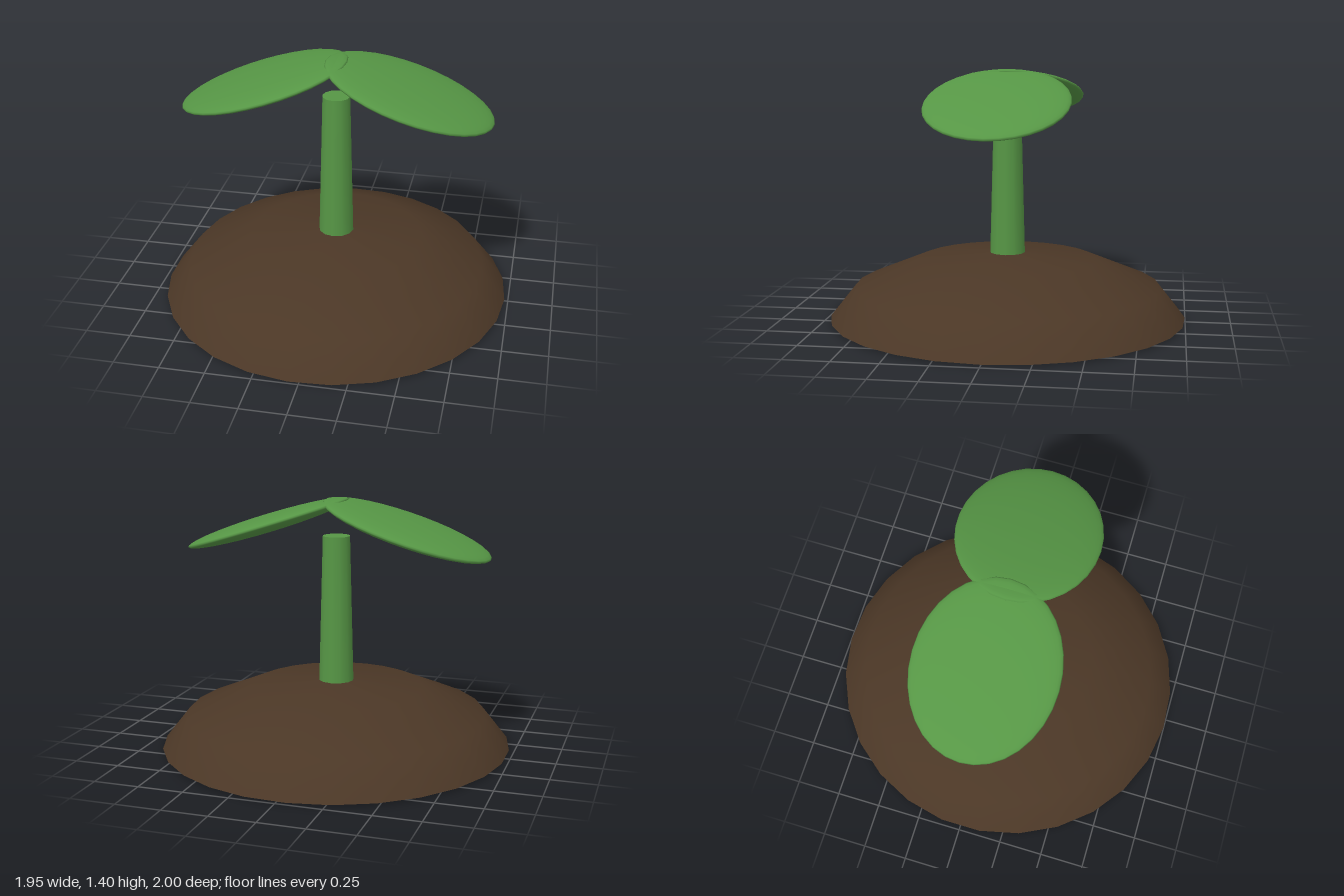
import * as THREE from 'three';

export function createModel() {
  const group = new THREE.Group();
  const soil = new THREE.MeshStandardMaterial({ name: 'soil brown', color: 0x4b3726 });
  const green = new THREE.MeshStandardMaterial({ name: 'leaf green', color: 0x569645 });

  const add = (name, geometry, material) => {
    const mesh = new THREE.Mesh(geometry, material);
    mesh.name = name;
    group.add(mesh);
    return mesh;
  };

  // Slightly oval lathe with a corner on the +x axis
  const ovalLathe = (profile) => {
    const points = profile.map(([r, y]) => new THREE.Vector2(r, y));
    return new THREE.LatheGeometry(points, 27).rotateY(Math.PI / 2).scale(0.98, 1, 1);
  };

  // Soil mound: a low dome with a separate underside for a crisp rim
  add('soilMound', ovalLathe([[1, 0.01], [0.86, 0.185], [0.5, 0.335], [0, 0.38]]), soil);
  add('soilUnderside', ovalLathe([[0, 0], [1, 0.01]]), soil);

  // Tapered stem
  const stem = add('stem', new THREE.CylinderGeometry(0.077, 0.1, 0.87, 12), green);
  stem.position.y = 0.755;

  // Two drooping oval leaves that meet above the stem
  const leafGeometry = new THREE.SphereGeometry(1, 32, 20).scale(0.483, 0.05, 0.39);
  for (const side of [-1, 1]) {
    const leaf = add(side > 0 ? 'leftLeaf' : 'rightLeaf', leafGeometry, green);
    leaf.position.set(side * 0.4, 1.243, 0);
    leaf.rotation.z = -side * 0.309;
  }

  return group;
}
